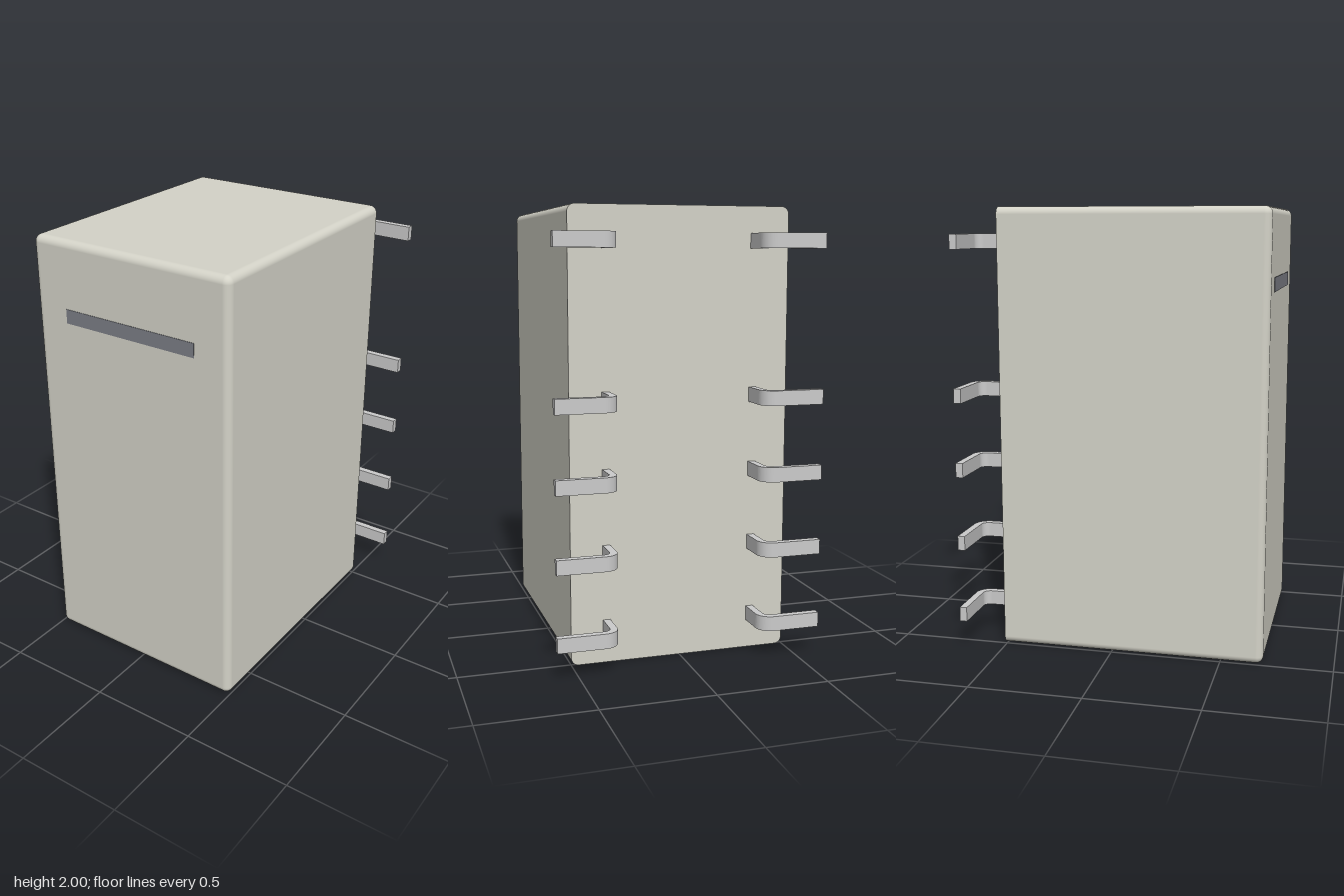
import * as THREE from 'three';
import { RoundedBoxGeometry } from 'three/addons/geometries/RoundedBoxGeometry.js';

const FRONT = 0.69, BACK = -0.51, FILLET = 0.033;

// Rounded case whose back fillet is flattened into a sharp-edged plane
function caseGeometry() {
  const depth = FRONT - BACK + FILLET;
  const geo = new RoundedBoxGeometry(1, 2, depth, 6, FILLET);
  geo.translate(0, 1, FRONT - depth / 2);
  const pos = geo.attributes.position, nor = geo.attributes.normal;
  const atBack = (i) => pos.getZ(i) < BACK + 1e-4;
  for (let t = 0; t < pos.count; t += 3) {
    const corners = [t, t + 1, t + 2];
    const flat = corners.every(atBack);
    for (const i of corners) {
      if (flat) nor.setXYZ(i, 0, 0, -1);
      if (atBack(i)) pos.setZ(i, BACK);
    }
  }
  return geo;
}

// Flat strip pin: runs backward from the case, then bends outward (side = 1 or -1)
function pinGeometry(side) {
  const x0 = 0.322, x1 = 0.355, z0 = 0.69, z1 = 0.657, end = 0.6, height = 0.066;
  const rIn = 0.032, rOut = rIn + x1 - x0;
  const cx = x0 + rOut, cz = z0 - rOut;
  const s = new THREE.Shape();
  s.moveTo(x0, -BACK);
  s.lineTo(x1, -BACK);
  s.lineTo(x1, cz);
  s.absarc(cx, cz, rIn, Math.PI, Math.PI / 2, true);
  s.lineTo(end, z1);
  s.lineTo(end, z0);
  s.lineTo(cx, z0);
  s.absarc(cx, cz, rOut, Math.PI / 2, Math.PI, false);
  const geo = new THREE.ExtrudeGeometry(s, { depth: height, bevelEnabled: false, curveSegments: 10 });
  geo.translate(0, 0, -height / 2);
  geo.rotateX(-Math.PI / 2);
  // a half turn about z mirrors x while keeping the winding
  if (side < 0) geo.rotateZ(Math.PI);
  return geo;
}

export function createModel() {
  const group = new THREE.Group();
  const add = (name, geo, color, parent = group) => {
    const mesh = new THREE.Mesh(geo, new THREE.MeshStandardMaterial({ color }));
    mesh.name = name;
    parent.add(mesh);
    return mesh;
  };

  add('case', caseGeometry(), 0xd4d3c8);

  // Marking bar on the front face
  const bar = add('markingBar', new THREE.BoxGeometry(0.666, 0.064, 0.004), 0x7c7e86);
  bar.position.set(0, 1.667, FRONT);

  // Two mirrored rows of pins
  for (const side of [1, -1]) {
    const row = new THREE.Group();
    row.name = side > 0 ? 'leftPins' : 'rightPins';
    group.add(row);
    const geo = pinGeometry(side);
    [0.162, 0.5, 0.838, 1.175, 1.85].forEach((y, i) => {
      add('pin' + (i + 1), geo, 0xcccccc, row).position.y = y;
    });
  }
  return group;
}
